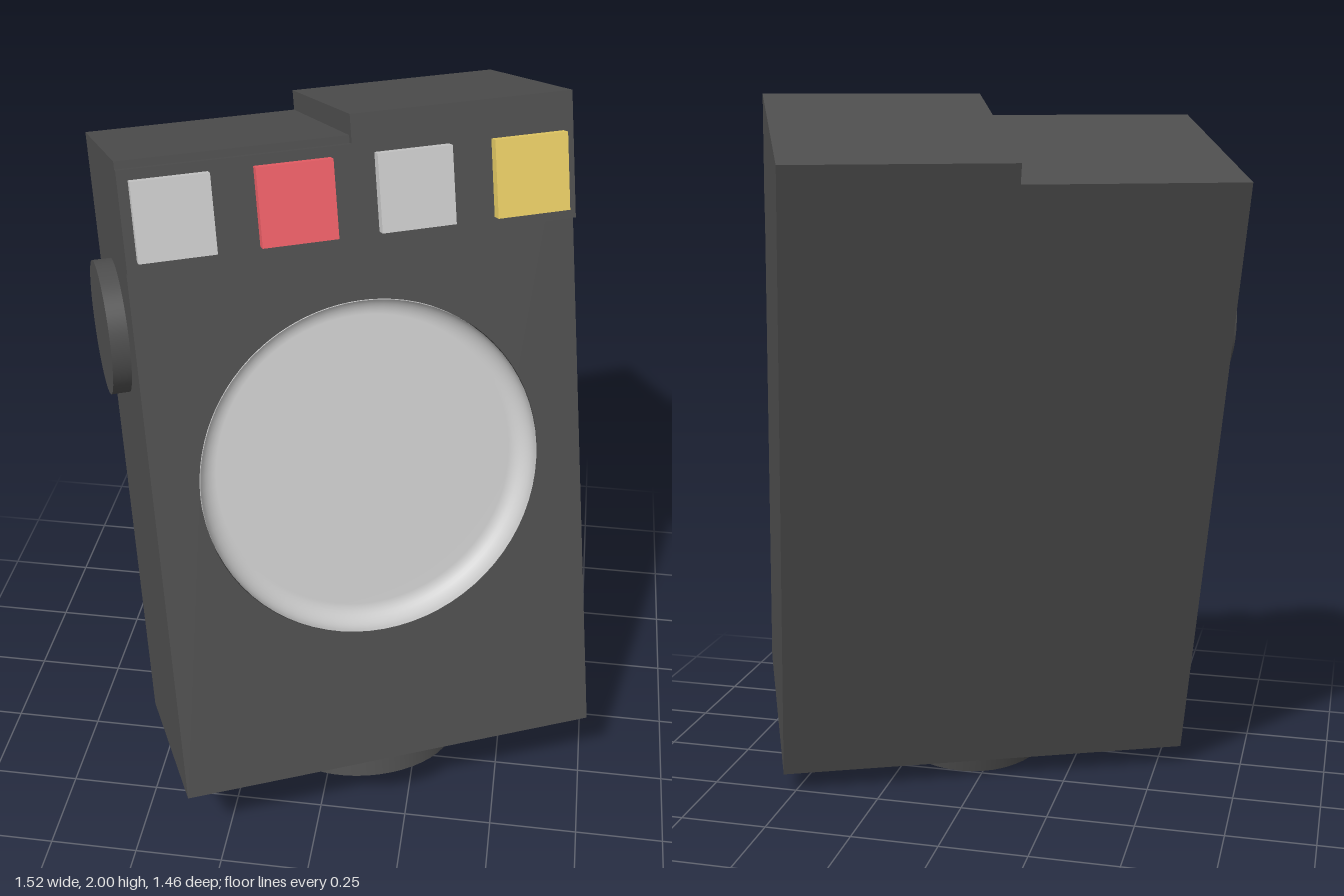
import * as THREE from 'three';

const W = 1.2, D = 0.6;              // body width and depth
const LOW = 1.785, HIGH = 1.84;      // top heights of the two halves
const BAND_Y = 1.505;                // lower edge of the button panel
const DISH_Y = 0.88, DISH_R = 0.475, DISH_DEPTH = 0.07;

const material = (color) => new THREE.MeshStandardMaterial({ color });

export function createModel() {
  const dark = material(0x4e4e4e);
  const grey = material(0xcccccc);
  const red = material(0xee6068);
  const yellow = material(0xe9ce66);

  const device = new THREE.Group();
  device.name = 'device';
  const add = (name, geometry, mat, x = 0, y = 0, z = 0) => {
    const mesh = new THREE.Mesh(geometry, mat);
    mesh.name = name;
    mesh.position.set(x, y, z);
    device.add(mesh);
    return mesh;
  };

  // Body outline: the +x half of the top is a step higher
  const outline = () => new THREE.Shape([
    [-W / 2, 0], [W / 2, 0], [W / 2, HIGH], [0, HIGH], [0, LOW], [-W / 2, LOW],
  ].map(([x, y]) => new THREE.Vector2(x, y)));
  const extrude = (shape, depth) => new THREE.ExtrudeGeometry(shape, {
    depth, bevelEnabled: false, curveSegments: 48,
  });

  // Front slab with the round opening, solid slab behind it
  const slab = 0.08;
  const frontShape = outline();
  frontShape.holes.push(new THREE.Path().absarc(0, DISH_Y, DISH_R, 0, Math.PI * 2, true));
  add('bodyFront', extrude(frontShape, slab), dark, 0, 0, D / 2 - slab);
  add('bodyBack', extrude(outline(), D - slab), dark, 0, 0, -D / 2);

  // Recessed dish: flat floor with a rounded rim
  const profile = [new THREE.Vector2(0, 0), new THREE.Vector2(0.3, 0)];
  const fillet = 0.055;
  for (let i = 0; i <= 8; i++) {
    const a = (i / 8) * Math.PI / 2;
    profile.push(new THREE.Vector2(
      DISH_R - 0.002 - fillet * (1 - Math.sin(a)), fillet * (1 - Math.cos(a))));
  }
  profile.push(new THREE.Vector2(DISH_R - 0.002, DISH_DEPTH));
  const dishMaterial = grey.clone();
  dishMaterial.side = THREE.DoubleSide;
  const dish = add('dish', new THREE.LatheGeometry(profile, 72), dishMaterial,
    0, DISH_Y, D / 2 - DISH_DEPTH);
  dish.rotation.x = Math.PI / 2;

  // Button panel standing slightly proud, taller on the high half
  const proud = 0.02;
  const panel = new THREE.Shape([
    [-W / 2, BAND_Y], [W / 2, BAND_Y], [W / 2, HIGH], [0, HIGH],
    [0, LOW - 0.02], [-W / 2, LOW - 0.02],
  ].map(([x, y]) => new THREE.Vector2(x, y)));
  add('buttonPanel', extrude(panel, proud), dark, 0, 0, D / 2);

  // Row of square buttons
  const buttonDepth = 0.03;
  [grey, red, grey, yellow].forEach((mat, i) => {
    add('button', new THREE.BoxGeometry(0.2, 0.205, buttonDepth), mat,
      (i - 1.5) * 0.315, 1.636, D / 2 + proud + buttonDepth / 2);
  });

  // Side knob and round foot
  const knob = add('sideKnob', new THREE.CylinderGeometry(0.183, 0.183, 0.05, 48), dark,
    -W / 2 - 0.025, 1.3, 0);
  knob.rotation.z = Math.PI / 2;
  add('foot', new THREE.CylinderGeometry(0.262, 0.262, 0.072, 48), dark, 0, -0.036, 0);

  // Lean back and turn the whole device
  device.rotation.set(-0.2705, 0.4154, 0, 'YXZ');
  device.position.set(0.094, 0.14, 0.228);

  const model = new THREE.Group();
  model.name = 'model';
  model.add(device);
  return model;
}
